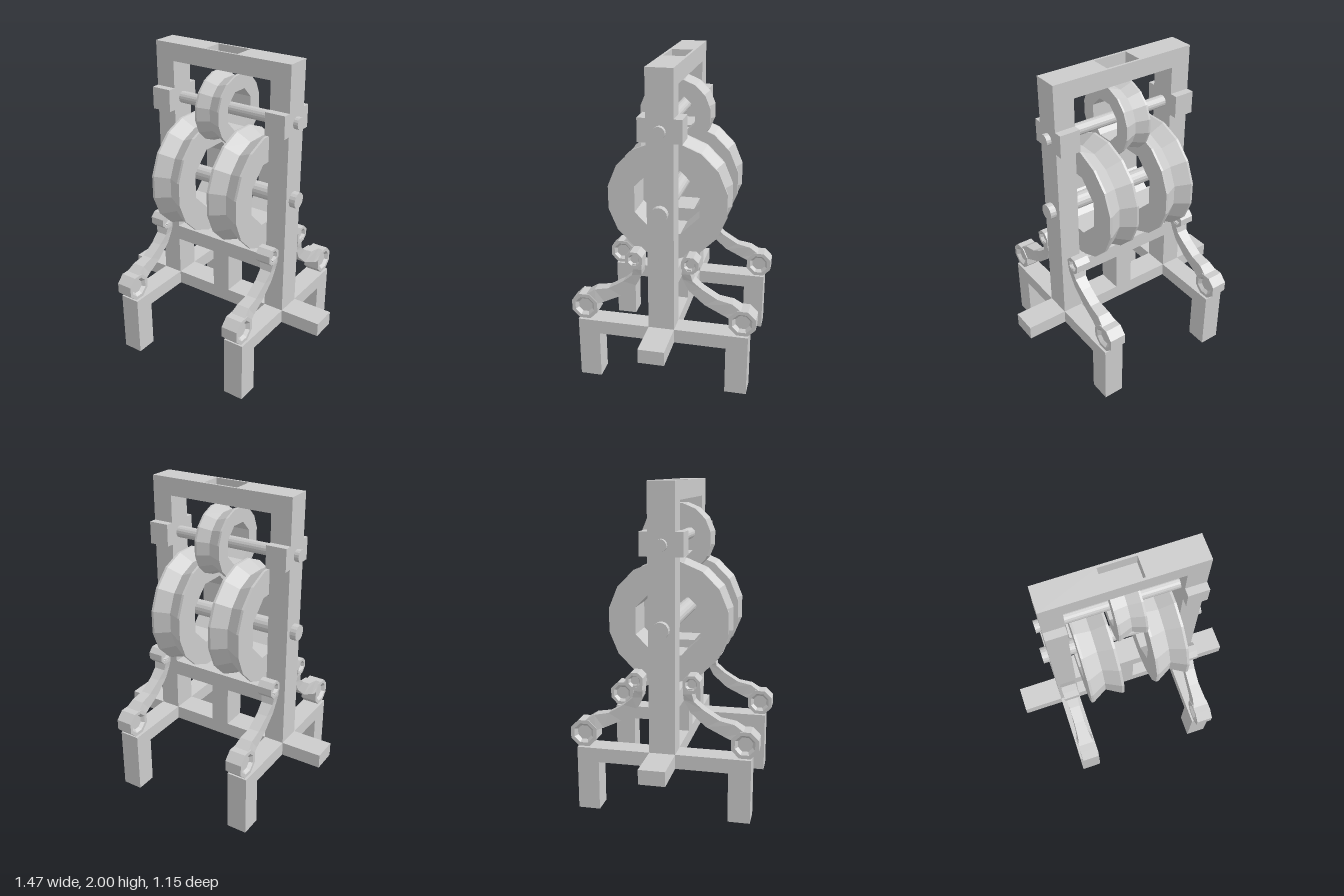
import * as THREE from 'three';

const material = new THREE.MeshStandardMaterial({ color: 0xcccccc, flatShading: true });

function add(parent, name, geometry, x = 0, y = 0, z = 0) {
  const mesh = new THREE.Mesh(geometry, material);
  mesh.name = name;
  mesh.position.set(x, y, z);
  parent.add(mesh);
  return mesh;
}

// box given by its limits on each axis
function block(parent, name, [x0, x1], [y0, y1], [z0, z1]) {
  return add(parent, name, new THREE.BoxGeometry(x1 - x0, y1 - y0, z1 - z0),
    (x0 + x1) / 2, (y0 + y1) / 2, (z0 + z1) / 2);
}

// regular polygon outline with flats facing the axes; r is measured to the flats
function polygon(r, sides, PathType) {
  const path = new PathType();
  const points = [];
  for (let i = 0; i < sides; i++) {
    const a = (i + 0.5) * 2 * Math.PI / sides;
    const k = r / Math.cos(Math.PI / sides);
    points.push(new THREE.Vector2(k * Math.cos(a), k * Math.sin(a)));
  }
  return path.setFromPoints(points);
}

// faceted turned shape around the x axis; profile is [radius to flats, x]
function turned(profile, sides) {
  const k = 1 / Math.cos(Math.PI / sides);
  const points = profile.map(([r, x]) => new THREE.Vector2(r * k, x));
  return new THREE.LatheGeometry(points, sides, Math.PI / sides).rotateZ(-Math.PI / 2);
}

// ring wheel: 16-sided grooved rim, octagonal opening
function wheel(name, radius, hole, half, groove, flat) {
  const g = new THREE.Group();
  g.name = name;
  add(g, 'groovedRim', turned([[radius, -half], [radius, flat - half], [radius - groove, 0],
    [radius, half - flat], [radius, half]], 16));
  add(g, 'opening', turned([[hole, half], [hole, -half]], 8));
  const face = polygon(radius, 16, THREE.Shape);
  face.holes.push(polygon(hole, 8, THREE.Path));
  for (const s of [-1, 1]) {
    add(g, 'wheelFace', new THREE.ShapeGeometry(face).rotateY(s * Math.PI / 2), s * half);
  }
  return g;
}

// octagonal eye with a tapered recess on both sides
function eye(r, hole, half) {
  const d = 0.02, floor = hole * 0.72;
  return turned([[0, d - half], [floor, d - half], [hole, -half], [r, -half],
    [r, half], [hole, half], [floor, half - d], [0, half - d]], 8);
}

// curved strut lofted through [outer z, outer y, inner z, inner y, half width]
function strut() {
  const rows = [
    [0.18, 0.81, 0.125, 0.81, 0.046],
    [0.177, 0.775, 0.123, 0.775, 0.045],
    [0.187, 0.73, 0.127, 0.737, 0.038],
    [0.245, 0.68, 0.164, 0.663, 0.034],
    [0.34, 0.622, 0.26, 0.578, 0.034],
    [0.43, 0.605, 0.37, 0.527, 0.04],
    [0.49, 0.565, 0.42, 0.51, 0.05],
  ];
  const position = [], index = [];
  rows.forEach(([oz, oy, iz, iy, w], i) => {
    position.push(w, oy, oz, -w, oy, oz, -w, iy, iz, w, iy, iz);
    if (i === 0) return;
    for (let j = 0; j < 4; j++) {
      const a = (i - 1) * 4 + j, b = (i - 1) * 4 + (j + 1) % 4;
      index.push(a, b, a + 4, b, b + 4, a + 4);
    }
  });
  const geometry = new THREE.BufferGeometry();
  geometry.setAttribute('position', new THREE.Float32BufferAttribute(position, 3));
  geometry.setIndex(index);
  geometry.computeVertexNormals();
  return geometry;
}

function arm() {
  const g = new THREE.Group();
  g.name = 'curvedArm';
  add(g, 'strut', strut());
  add(g, 'upperEye', eye(0.052, 0.035, 0.048), 0, 0.835, 0.172);
  add(g, 'lowerEye', eye(0.082, 0.06, 0.053), 0, 0.487, 0.495);
  return g;
}

export function createModel() {
  const model = new THREE.Group();
  model.name = 'pulleyFrame';
  const depth = [-0.08, 0.08];

  // base and cross members
  block(model, 'baseBeam', [-0.735, 0.735], [0.31, 0.4], depth);
  block(model, 'centrePost', [-0.06, 0.06], [0.4, 0.66], depth);
  block(model, 'lowerCrossbar', [-0.345, 0.345], [0.66, 0.76], depth);

  // top beam with a rectangular pocket
  block(model, 'topBeamFloor', [-0.475, 0.475], [1.89, 1.92], depth);
  const rect = (P, x, z) => new P().setFromPoints(
    [[-x, -z], [x, -z], [x, z], [-x, z]].map(p => new THREE.Vector2(...p)));
  const beam = rect(THREE.Shape, 0.475, 0.08);
  beam.holes.push(rect(THREE.Path, 0.112, 0.065));
  add(model, 'topBeam', new THREE.ExtrudeGeometry(beam, { depth: 0.08, bevelEnabled: false })
    .rotateX(-Math.PI / 2), 0, 1.92, 0);

  // both sides: post, bearing block, foot beam, legs and arms
  for (const s of [-1, 1]) {
    const span = s > 0 ? [0.345, 0.475] : [-0.475, -0.345];
    block(model, 'post', span, [0.4, 1.89], depth);
    block(model, 'footBeam', span, [0.31, 0.4], [-0.535, 0.535]);
    block(model, 'frontLeg', span, [0, 0.31], [0.4, 0.535]);
    block(model, 'backLeg', span, [0, 0.31], [-0.535, -0.4]);
    block(model, 'frontBearingBlock', span, [1.58, 1.72], [0.08, 0.13]);
    block(model, 'backBearingBlock', span, [1.58, 1.72], [-0.13, -0.08]);
    for (const turn of [0, Math.PI]) {
      const a = arm();
      a.position.x = s * 0.41;
      a.rotation.y = turn;
      model.add(a);
    }
  }

  // axles
  const axle = (r, length) => new THREE.CylinderGeometry(r, r, length, 16).rotateZ(Math.PI / 2);
  add(model, 'upperAxle', axle(0.037, 1.01), 0, 1.645, 0);
  add(model, 'lowerAxle', axle(0.05, 1.03), 0, 1.16, 0);

  // wheels
  const small = wheel('upperWheel', 0.215, 0.12, 0.085, 0.03, 0.012);
  small.position.y = 1.645;
  model.add(small);
  for (const s of [-1, 1]) {
    const large = wheel('lowerWheel', 0.365, 0.2, 0.104, 0.05, 0.015);
    large.position.set(s * 0.207, 1.17, 0);
    model.add(large);
  }
  return model;
}
